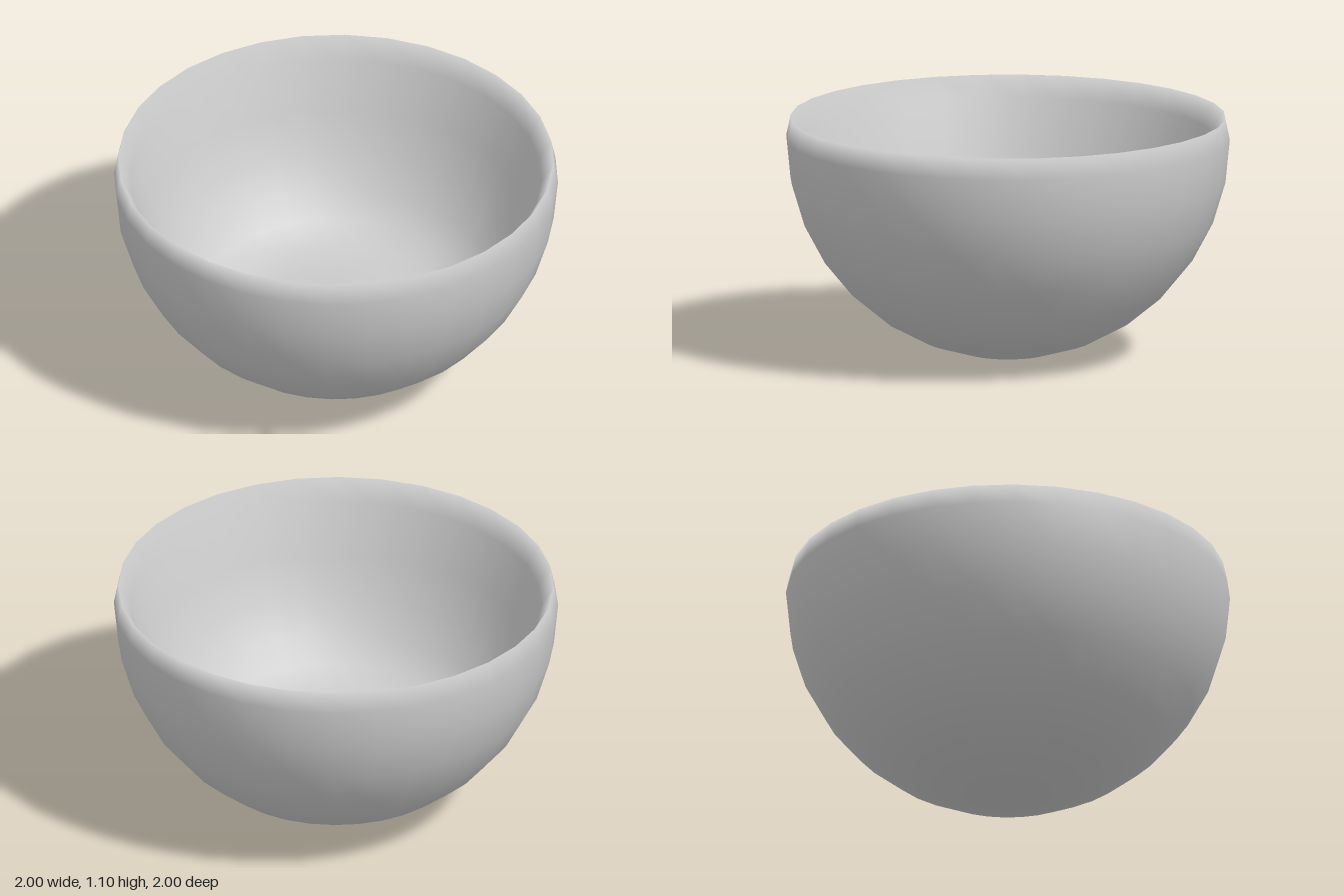
import * as THREE from 'three';

const SEGMENTS = 32; // sides around the bowl
const RINGS = 8;     // rings from pole to equator

// Quarter-circle profile from the bottom pole up to the equator
function quarterArc(radius, centerY) {
  const points = [];
  for (let i = 0; i <= RINGS; i++) {
    const a = (i / RINGS) * Math.PI / 2;
    points.push(new THREE.Vector2(radius * Math.sin(a), centerY - radius * Math.cos(a)));
  }
  return points;
}

export function createModel() {
  const group = new THREE.Group();
  group.name = 'bowl';

  // Steep inner wall running down to a shallow floor with a slight central rise
  const inside = [
    [0.925, 1.0], [0.86, 0.76], [0.79, 0.58], [0.71, 0.43], [0.62, 0.33],
    [0.5, 0.275], [0.36, 0.26], [0.18, 0.275], [0, 0.295],
  ].map(([r, y]) => new THREE.Vector2(r, y));

  // Outer wall, rounded lip, then the inside
  const profile = [...quarterArc(1, 1), new THREE.Vector2(0.98, 1.095), ...inside];
  const shell = new THREE.Mesh(
    new THREE.LatheGeometry(profile, SEGMENTS),
    new THREE.MeshStandardMaterial({ color: 0xcccccc, side: THREE.DoubleSide })
  );
  shell.name = 'bowlShell';
  group.add(shell);
  return group;
}
